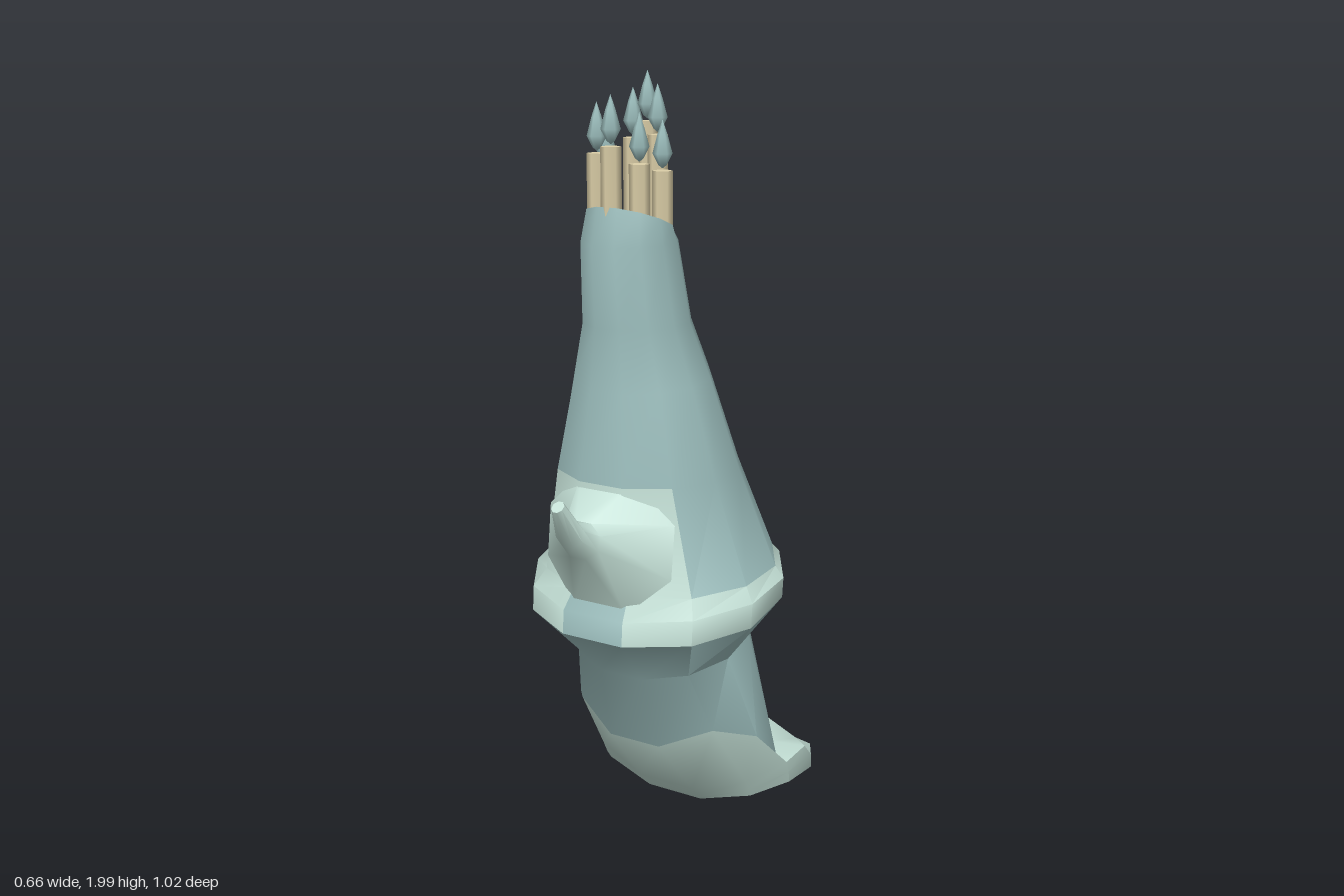
import * as THREE from 'three';
import { toCreasedNormals } from 'three/addons/utils/BufferGeometryUtils.js';

const mat = (name, color) => new THREE.MeshStandardMaterial({ name, color });

// Ring through a front and a back point [z, y]; w is the half width, bow shifts
// the sides by [z, y], skew lifts the front quarters and drops the rear ones.
function ringPoints({ f, b, w, bow = [0, 0], skew = 0 }, sides) {
  const pts = [];
  for (let j = 0; j < sides; j++) {
    const a = ((j + 0.5) / sides) * Math.PI * 2;
    // stretch so that the flat middle faces reach the front and back points
    const c = Math.max(-1, Math.min(1, Math.cos(a) / Math.cos(Math.PI / sides)));
    const s = Math.sin(a), t = (1 - c) / 2;
    pts.push([
      w * s,
      f[1] + (b[1] - f[1]) * t + bow[1] * s * s + skew * s * s * c,
      f[0] + (b[0] - f[0]) * t + bow[0] * s * s,
    ]);
  }
  return pts;
}

// Skin over rings with end caps; pick(band, side) gives the material index.
function loft(rings, sides, pick, crease = 0.75) {
  const pos = [], faces = [[], []];
  rings.forEach((r) => ringPoints(r, sides).forEach((p) => pos.push(...p)));
  const last = rings.length - 1;
  for (let i = 0; i < last; i++) {
    for (let j = 0; j < sides; j++) {
      const k = (j + 1) % sides;
      const a = i * sides + j, b = i * sides + k, c = b + sides, d = a + sides;
      faces[pick(i, j)].push(a, b, c, a, c, d);
    }
  }
  [0, last].forEach((i) => {
    const { f, b } = rings[i];
    const centre = pos.length / 3;
    pos.push(0, (f[1] + b[1]) / 2, (f[0] + b[0]) / 2);
    for (let j = 0; j < sides; j++) {
      const p = i * sides + j, q = i * sides + ((j + 1) % sides);
      faces[pick(i === 0 ? -1 : last, j)].push(...(i === 0 ? [centre, q, p] : [centre, p, q]));
    }
  });
  const geo = new THREE.BufferGeometry();
  geo.setAttribute('position', new THREE.Float32BufferAttribute(pos, 3));
  geo.setIndex([...faces[0], ...faces[1]]);
  geo.addGroup(0, faces[0].length, 0);
  geo.addGroup(faces[0].length, faces[1].length, 1);
  return toCreasedNormals(geo, crease);
}

export function createModel() {
  const model = new THREE.Group();
  model.name = 'candleCreature';
  const skin = mat('tealSkin', 0x9dbfbe);
  const pale = mat('paleSkin', 0xc4e0d6);
  const wax = mat('wax', 0xdccfa8);
  const add = (name, geo, material, parent = model) => {
    const mesh = new THREE.Mesh(geo, material);
    mesh.name = name;
    parent.add(mesh);
    return mesh;
  };

  // Body, from the swept-back tail up to the crown
  const sides = 12;
  const bodyRings = [
    { f: [-0.03, 0.04], b: [-0.51, 0.005], w: 0.32, bow: [0.1, 0.1] },
    { f: [-0.02, 0.05], b: [-0.51, 0.04], w: 0.326, bow: [0.11, 0.12] },
    { f: [0.02, 0.09], b: [-0.37, 0.11], w: 0.325, bow: [0.04, 0.1] },
    { f: [0.18, 0.27], b: [-0.25, 0.28], w: 0.29, bow: [0, -0.03], skew: 0.22 },
    { f: [0.24, 0.49], b: [-0.16, 0.61], w: 0.24 },
    { f: [0.37, 0.63], b: [-0.235, 0.75], w: 0.34, bow: [0, -0.02] },
    { f: [0.365, 0.69], b: [-0.24, 0.765], w: 0.34 },
    { f: [0.33, 0.74], b: [-0.235, 0.775], w: 0.31 },
    { f: [0.325, 1.02], b: [-0.115, 1.03], w: 0.24 },
    { f: [0.295, 1.24], b: [-0.02, 1.28], w: 0.18 },
    { f: [0.29, 1.4], b: [0.02, 1.4], w: 0.135 },
    { f: [0.305, 1.6], b: [0.07, 1.6], w: 0.12 },
    { f: [0.285, 1.69], b: [0.085, 1.615], w: 0.108 },
  ];
  const bodyColour = (band, j) => {
    const fromFront = Math.min((j + 1) % sides, (sides - 1 - j) % sides);
    if (band >= 0 && band <= 2) return 1;                      // foot
    if (band === -1) return 1;                                 // sole
    if (band === 5 || band === 6) return fromFront === 0 || fromFront >= 5 ? 0 : 1; // hoop
    if (band === 7) return fromFront <= 1 ? 1 : 0;             // breast patch
    return 0;
  };
  add('body', loft(bodyRings, sides, bodyColour), [skin, pale]);

  // Upturned snout on the breast patch
  const snoutRings = [
    { f: [0.34, 0.7], b: [0.3, 1.03], w: 0.2, bow: [-0.04, 0] },
    { f: [0.425, 0.86], b: [0.4, 0.945], w: 0.06 },
    { f: [0.465, 0.9], b: [0.445, 0.96], w: 0.042 },
    { f: [0.515, 1.0], b: [0.49, 1.02], w: 0.017 },
  ];
  add('snout', loft(snoutRings, 8, () => 0, 0.9), [pale, pale]);

  // Candles round the crown: x, z, height of the wax top
  const candles = [
    [0, 0.105, 1.88], [0.035, 0.115, 1.85], [-0.035, 0.115, 1.84],
    [0.08, 0.165, 1.77], [-0.08, 0.165, 1.77],
    [0.06, 0.235, 1.79], [-0.06, 0.235, 1.81], [0, 0.265, 1.83],
  ];
  const flameProfile = [[0, 0], [0.01, 0.008], [0.024, 0.035], [0.012, 0.08], [0, 0.115]]
    .map(([x, y]) => new THREE.Vector2(x, y));
  const flameGeo = new THREE.LatheGeometry(flameProfile, 6);
  const bottom = 1.57;
  candles.forEach(([x, z, top]) => {
    const candle = new THREE.Group();
    candle.name = 'candle';
    candle.position.set(x, 0, z);
    const stick = new THREE.CylinderGeometry(0.025, 0.025, top - bottom, 6);
    add('wax', stick, wax, candle).position.y = (top + bottom) / 2;
    add('flame', flameGeo, skin, candle).position.y = top + 0.005;
    model.add(candle);
  });

  return model;
}
